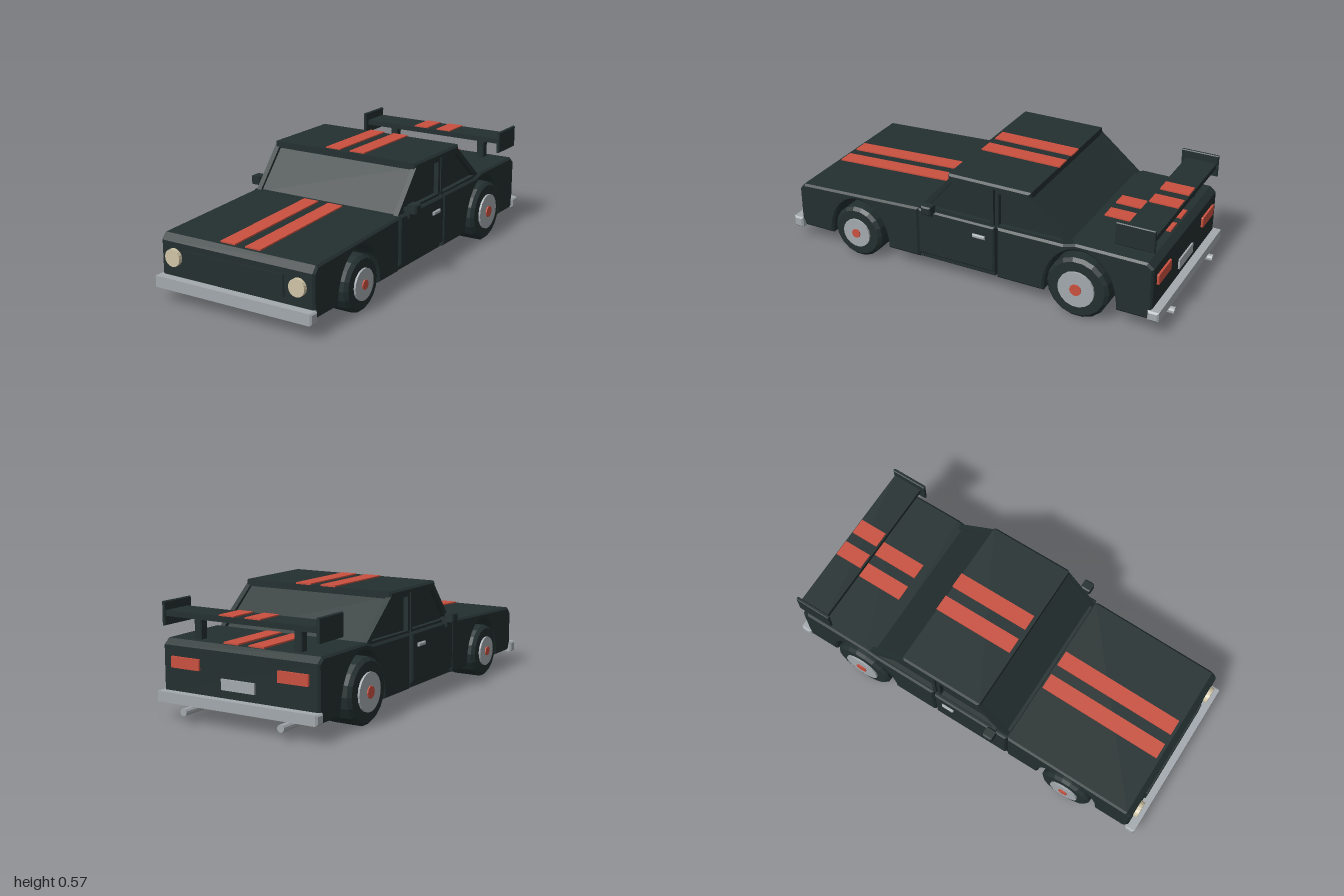
import * as THREE from 'three';

const mat = (name, color) => {
  const m = new THREE.MeshStandardMaterial({ color, flatShading: true });
  m.name = name;
  return m;
};

export function createModel() {
  const paint = mat('dark green paint', 0x232f2f);
  const red = mat('red', 0xc9503f);
  const chrome = mat('chrome', 0xa3a9ae);
  const lamp = mat('warm lamp', 0xcfc4a6);

  const car = new THREE.Group();
  car.name = 'car';

  const add = (name, geo, material, x = 0, y = 0, z = 0) => {
    const m = new THREE.Mesh(geo, material);
    m.name = name;
    m.position.set(x, y, z);
    car.add(m);
    return m;
  };
  // Box given by its limits on each axis
  const box = (name, material, x0, x1, y0, y1, z0, z1) =>
    add(name, new THREE.BoxGeometry(x1 - x0, y1 - y0, z1 - z0), material,
      (x0 + x1) / 2, (y0 + y1) / 2, (z0 + z1) / 2);
  // Side profile in (z, y), extruded across the car and centred on x
  const slab = (shape, width, bevel) => {
    const g = new THREE.ExtrudeGeometry(shape, {
      depth: width - 2 * bevel, bevelEnabled: bevel > 0, bevelThickness: bevel,
      bevelSize: bevel, bevelOffset: -bevel, bevelSegments: 1, curveSegments: 16,
    });
    g.translate(0, 0, -(width - 2 * bevel) / 2);
    return g.rotateY(-Math.PI / 2);
  };
  const poly = pts => new THREE.Shape(pts.map(p => new THREE.Vector2(...p)));
  // Bevelled box
  const block = (name, material, x0, x1, y0, y1, z0, z1, bevel = 0.008) =>
    add(name, slab(poly([[z0, y0], [z1, y0], [z1, y1], [z0, y1]]), x1 - x0, bevel),
      material, (x0 + x1) / 2);

  // Front body with wheel arch
  const front = new THREE.Shape();
  front.moveTo(0.262, 0.08);
  front.lineTo(0.44, 0.08);
  front.absellipse(0.605, 0.08, 0.165, 0.222, Math.PI, 0, true);
  front.lineTo(0.94, 0.08);
  front.lineTo(0.957, 0.12);
  front.lineTo(0.957, 0.285);
  front.lineTo(0.93, 0.316);
  front.lineTo(0.262, 0.347);
  add('frontBody', slab(front, 0.84, 0.01), paint);

  // Doors and floor
  block('doorSection', paint, -0.425, 0.425, 0.107, 0.348, -0.152, 0.26);
  block('floor', paint, -0.41, 0.41, 0.08, 0.12, -0.15, 0.264, 0.005);

  // Rear body with wheel arch
  const rear = new THREE.Shape();
  rear.moveTo(-0.94, 0.12);
  rear.lineTo(-0.93, 0.08);
  rear.lineTo(-0.769, 0.08);
  rear.absellipse(-0.587, 0.08, 0.182, 0.257, Math.PI, 0, true);
  rear.lineTo(-0.163, 0.08);
  rear.lineTo(-0.163, 0.348);
  rear.lineTo(-0.5, 0.35);
  rear.lineTo(-0.56, 0.368);
  rear.lineTo(-0.91, 0.366);
  rear.lineTo(-0.94, 0.34);
  add('rearBody', slab(rear, 0.84, 0.01), paint);

  // Cabin: glass core in two halves with a narrow gap
  const glassFront = [[-0.14, 0.34], [0.25, 0.34], [0.08, 0.535], [-0.14, 0.535]];
  const glassRear = [[-0.54, 0.34], [-0.15, 0.34], [-0.15, 0.535], [-0.315, 0.535]];
  add('frontCabin', slab(poly(glassFront), 0.766, 0), paint);
  add('rearCabin', slab(poly(glassRear), 0.766, 0), paint);

  // Window frames on both sides
  const frames = [
    [[[-0.14, 0.34], [0.265, 0.34], [0.095, 0.54], [-0.14, 0.54]],
      [[-0.122, 0.36], [0.215, 0.36], [0.08, 0.522], [-0.122, 0.522]]],
    [[[-0.555, 0.35], [-0.15, 0.34], [-0.15, 0.54], [-0.325, 0.54]],
      [[-0.5, 0.362], [-0.168, 0.358], [-0.168, 0.522], [-0.31, 0.522]]],
  ];
  for (const s of [-1, 1]) {
    for (const [outer, hole] of frames) {
      const shape = poly(outer);
      shape.holes.push(poly(hole));
      add('windowFrame', slab(shape, 0.026, 0), paint, s * 0.394);
    }
  }
  block('roof', paint, -0.407, 0.407, 0.53, 0.563, -0.33, 0.1, 0.01);

  // Wheels: [z, radius, rim radius, hub radius, outer face x]
  const wheels = [[0.607, 0.134, 0.075, 0.023, 0.438], [-0.585, 0.155, 0.091, 0.029, 0.443]];
  const disc = (r, w, n) => new THREE.CylinderGeometry(r, r, w, n).rotateZ(Math.PI / 2);
  for (const [z, r, rim, hub, x] of wheels) {
    const b = 0.016, h = 0.0875;
    const profile = [[0, -h], [r - b, -h], [r, -h + b], [r, h - b], [r - b, h], [0, h]]
      .map(p => new THREE.Vector2(...p));
    for (const s of [-1, 1]) {
      add('tyre', new THREE.LatheGeometry(profile, 18).rotateZ(Math.PI / 2), paint, s * (x - h), r, z);
      add('rim', disc(rim, 0.02, 18), chrome, s * x, r, z);
      add('hub', disc(hub, 0.03, 10), red, s * (x + 0.001), r, z);
    }
  }

  // Bumpers, grille and number plate
  block('frontBumper', chrome, -0.432, 0.432, 0.068, 0.123, 0.948, 1.0);
  block('rearBumper', chrome, -0.432, 0.432, 0.083, 0.132, -0.98, -0.925);
  block('grille', paint, -0.265, 0.265, 0.152, 0.256, 0.95, 0.965, 0.004);
  box('numberPlate', chrome, -0.09, 0.09, 0.17, 0.22, -0.949, -0.938);

  // Racing stripes on hood, roof, deck and spoiler
  for (const s of [-1, 1]) {
    const x = s * 0.069;
    const hood = add('hoodStripe', new THREE.BoxGeometry(0.082, 0.009, 0.645), red, x, 0.334, 0.593);
    hood.rotation.x = Math.atan2(0.031, 0.668);
    box('roofStripe', red, x - 0.041, x + 0.041, 0.561, 0.569, -0.333, 0.082);
    box('deckStripe', red, x - 0.041, x + 0.041, 0.365, 0.374, -0.9, -0.57);
    box('spoilerStripe', red, x - 0.041, x + 0.041, 0.492, 0.5, -0.928, -0.785);
  }

  // Spoiler blade
  block('spoilerBlade', paint, -0.412, 0.412, 0.468, 0.494, -0.932, -0.778, 0.005);

  // Paired details
  for (const s of [-1, 1]) {
    const pair = (name, m, x0, x1, ...rest) =>
      block(name, m, Math.min(s * x0, s * x1), Math.max(s * x0, s * x1), ...rest);
    pair('spoilerEndPlate', paint, 0.405, 0.422, 0.425, 0.535, -0.94, -0.753, 0.004);
    pair('spoilerSupport', paint, 0.25, 0.29, 0.36, 0.475, -0.877, -0.833, 0.004);
    pair('mirror', paint, 0.425, 0.477, 0.354, 0.398, 0.16, 0.212, 0.007);
    pair('mirrorArm', paint, 0.395, 0.435, 0.325, 0.372, 0.175, 0.2, 0.004);
    pair('doorHandle', chrome, 0.42, 0.436, 0.275, 0.293, -0.105, -0.04, 0.004);
    pair('tailLight', red, 0.21, 0.37, 0.24, 0.292, -0.951, -0.935, 0.003);
    add('headlight', new THREE.CylinderGeometry(0.042, 0.042, 0.03, 16).rotateX(Math.PI / 2),
      lamp, s * 0.341, 0.215, 0.962);
    add('exhaustPipe', new THREE.CylinderGeometry(0.018, 0.018, 0.125, 10).rotateX(Math.PI / 2),
      chrome, s * 0.262, 0.057, -0.9375);
  }
  return car;
}
